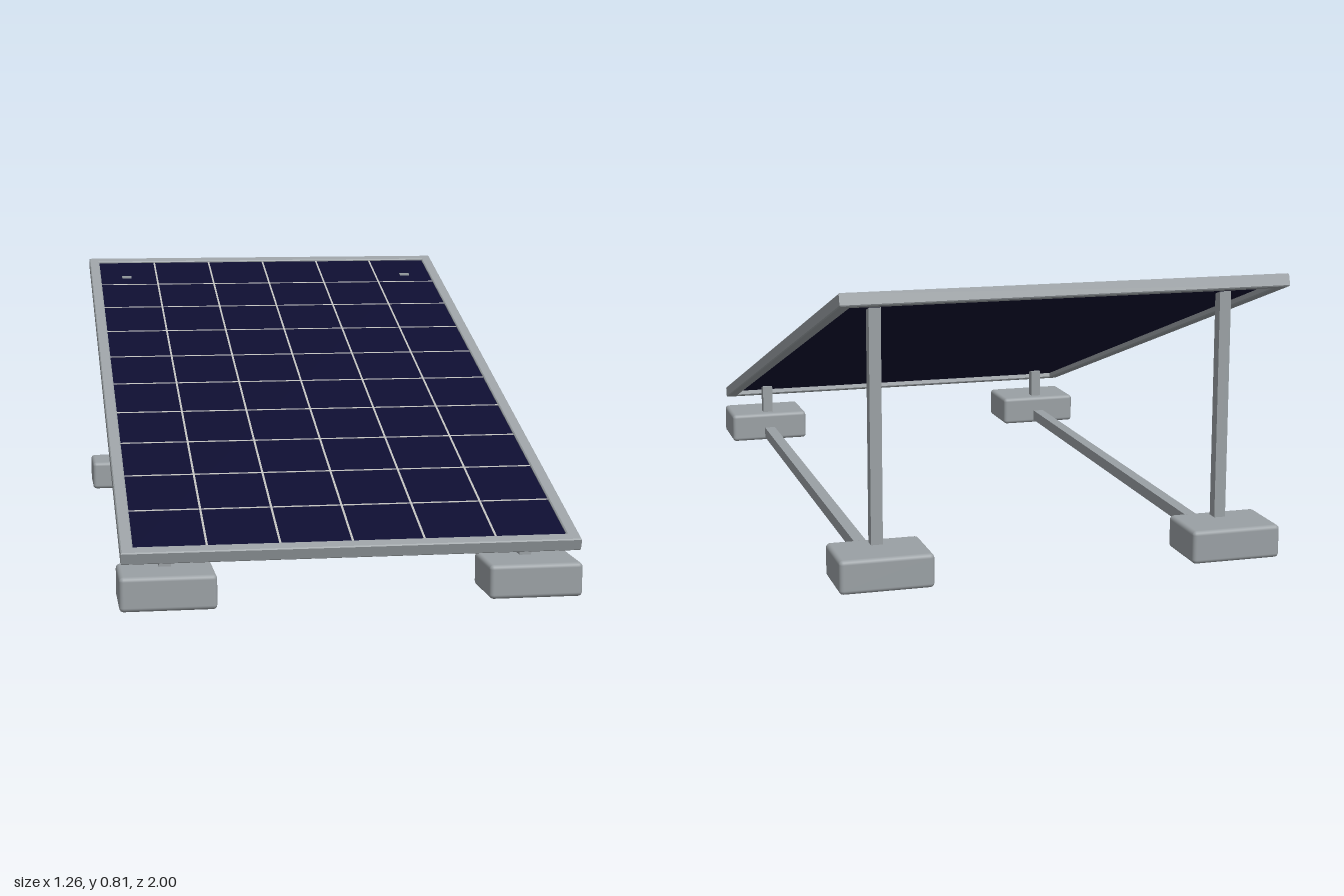
import * as THREE from 'three';
import { RoundedBoxGeometry } from 'three/addons/geometries/RoundedBoxGeometry.js';

const mat = (name, color) => {
  const m = new THREE.MeshStandardMaterial({ color });
  m.name = name;
  return m;
};

export function createModel() {
  const metal = mat('grey metal', 0x9aa0a4);
  const cell = mat('navy cell', 0x0d0d30);
  const line = mat('light grid line', 0xbcbcba);

  const model = new THREE.Group();
  model.name = 'solarPanel';

  const add = (parent, name, geometry, material, x, y, z) => {
    const mesh = new THREE.Mesh(geometry, material);
    mesh.name = name;
    mesh.position.set(x, y, z);
    parent.add(mesh);
    return mesh;
  };

  // Tilted panel: local x across, y out of the glass, z down the slope
  const W = 1.25, L = 2.09, T = 0.036, RIM = 0.034;
  const innerW = W - 2 * RIM, innerL = L - 2 * RIM;
  const panel = new THREE.Group();
  panel.name = 'panel';
  panel.position.y = 0.4675;
  panel.rotation.x = THREE.MathUtils.degToRad(18.1);
  model.add(panel);

  // Frame with a fine bevelled edge
  const B = 0.003;
  const rect = (path, w, l) => path.moveTo(-w / 2, -l / 2).lineTo(w / 2, -l / 2)
    .lineTo(w / 2, l / 2).lineTo(-w / 2, l / 2).closePath();
  const outline = new THREE.Shape();
  rect(outline, W - 2 * B, L - 2 * B);
  const opening = new THREE.Path();
  rect(opening, innerW + 2 * B, innerL + 2 * B);
  outline.holes.push(opening);
  const frameGeo = new THREE.ExtrudeGeometry(outline, {
    depth: T - 2 * B, bevelEnabled: true, bevelThickness: B, bevelSize: B, bevelSegments: 1,
  });
  frameGeo.translate(0, 0, -T / 2 + B);
  frameGeo.rotateX(-Math.PI / 2);
  add(panel, 'frame', frameGeo, metal, 0, 0, 0);

  // Glass sheet, recessed on both sides
  const glassTop = 0.012, glassT = 0.014;
  add(panel, 'glass', new THREE.BoxGeometry(innerW, glassT, innerL), cell, 0, glassTop - glassT / 2, 0);

  // Cell grid: 6 columns by 10 rows
  const lineW = 0.006, lineT = 0.002;
  for (let i = 1; i < 6; i++) {
    add(panel, 'columnLine', new THREE.BoxGeometry(lineW, lineT, innerL), line,
      (i / 6 - 0.5) * innerW, glassTop, 0);
  }
  for (let j = 1; j < 10; j++) {
    add(panel, 'rowLine', new THREE.BoxGeometry(innerW, lineT, lineW), line,
      0, glassTop - 0.0002, (j / 10 - 0.5) * innerL);
  }

  // Supports on each side: two feet, a ground rail and two posts
  const frontFootZ = 0.907, backFootZ = -0.883;
  const post = (name, x, z, top) =>
    add(model, name, new THREE.BoxGeometry(0.033, top - 0.05, 0.033), metal, x, (top + 0.05) / 2, z);
  for (const [side, x] of [['left', 0.5], ['right', -0.5]]) {
    for (const [end, z] of [['Front', frontFootZ], ['Back', backFootZ]]) {
      add(model, `${side}${end}Foot`, new RoundedBoxGeometry(0.26, 0.094, 0.186, 3, 0.012), metal, x, 0.047, z);
    }
    add(model, `${side}Rail`, new THREE.BoxGeometry(0.035, 0.035, frontFootZ - backFootZ), metal,
      x, 0.027, (frontFootZ + backFootZ) / 2);
    post(`${side}FrontPost`, x, 0.862, 0.185);
    post(`${side}BackPost`, x, -0.836, 0.755);
  }
  return model;
}
